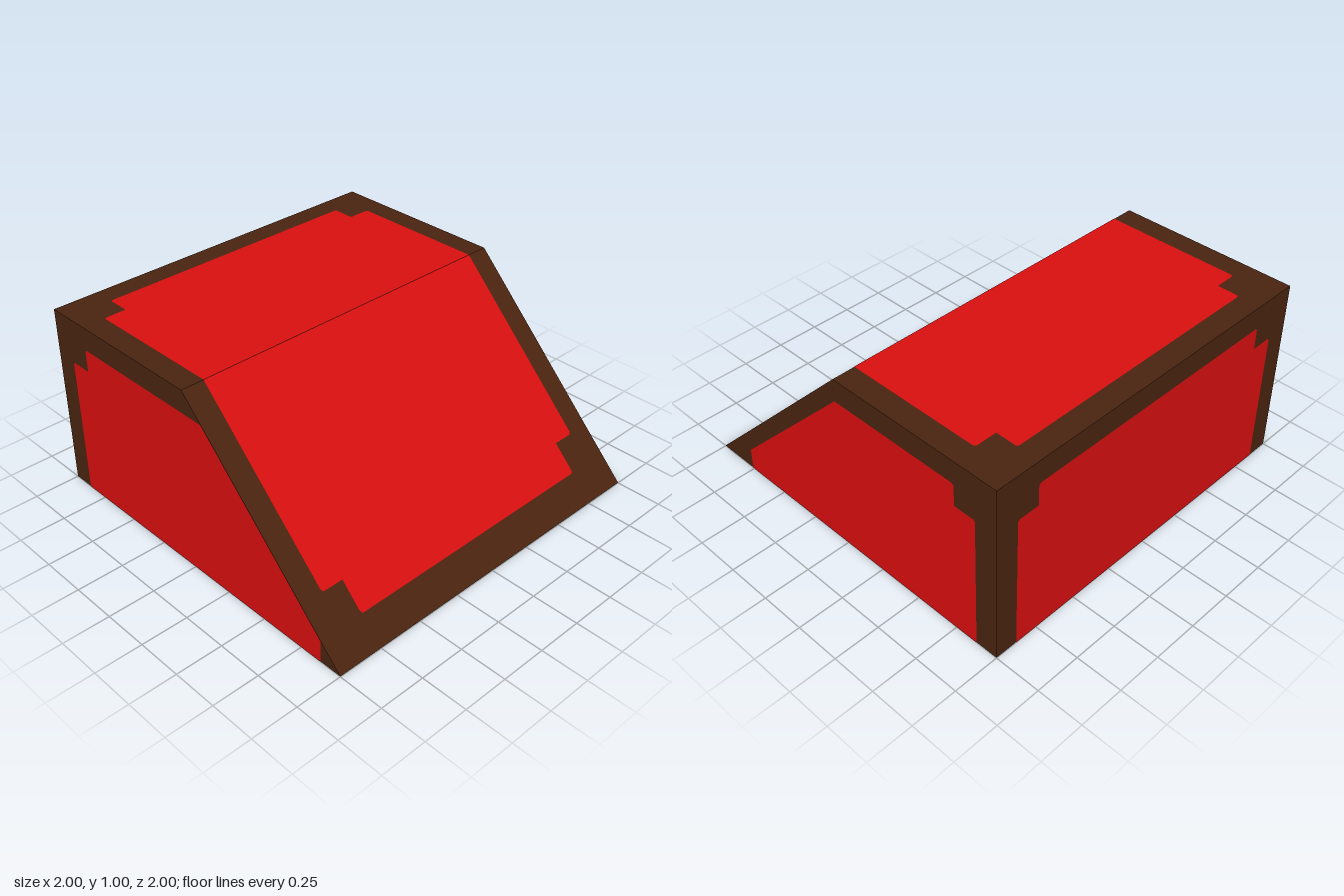
import * as THREE from 'three';

const B = 0.1225; // border width
const N = 0.245;  // notch reach
const C = 0.01;   // small chamfer on notch tips
const LIFT = 0.002;

// Stepped corner, counter-clockwise, inset from the face corner (x, y).
// sx, sy tell which side of the face the corner lies on.
function notch(x, y, sx, sy) {
  const steps = [[B, N + C], [B + C, N], [N, N], [N, B + C], [N + C, B]];
  const points = steps.map(([dx, dy]) => [x - sx * dx, y - sy * dy]);
  return sx * sy > 0 ? points : points.reverse();
}

// Flat panel drawn in a face's own axes u and v, lifted slightly off the face.
function panel(name, material, origin, u, v, points) {
  const U = new THREE.Vector3(...u);
  const V = new THREE.Vector3(...v);
  const W = U.clone().cross(V).normalize();
  const shape = new THREE.Shape(points.map(([x, y]) => new THREE.Vector2(x, y)));
  const geometry = new THREE.ShapeGeometry(shape);
  const position = new THREE.Vector3(...origin).addScaledVector(W, LIFT);
  geometry.applyMatrix4(new THREE.Matrix4().makeBasis(U, V, W).setPosition(position));
  const mesh = new THREE.Mesh(geometry, material);
  mesh.name = name;
  return mesh;
}

export function createModel() {
  const brown = new THREE.MeshStandardMaterial({ color: 0x4a2410 });
  brown.name = 'dark brown';
  const red = new THREE.MeshStandardMaterial({ color: 0xd90f0f });
  red.name = 'red';

  const group = new THREE.Group();
  group.name = 'slopedBlock';

  // Solid block with one sloping side
  const profile = new THREE.Shape([[-1, 0], [1, 0], [0, 1], [-1, 1]].map(([x, y]) => new THREE.Vector2(x, y)));
  const block = new THREE.Mesh(
    new THREE.ExtrudeGeometry(profile, { depth: 2, bevelEnabled: false }).translate(0, 0, -1),
    brown
  );
  block.name = 'block';
  group.add(block);

  const e = 1 - B;
  group.add(
    // Top, open toward the ridge
    panel('topPanel', red, [0, 1, 0], [1, 0, 0], [0, 0, -1],
      [[0, -e], [0, e], ...notch(-1, 1, -1, 1), ...notch(-1, -1, -1, -1)]),
    // Slope, open toward the ridge
    panel('slopePanel', red, [1, 0, 0], [0, 0, -1], [-1, 1, 0],
      [...notch(-1, 0, -1, -1), ...notch(1, 0, 1, -1), [e, 1], [-e, 1]]),
    // Front, running out to the sloping edge
    panel('frontPanel', red, [0, 0, 1], [1, 0, 0], [0, 1, 0],
      [[-e, 0], [e, 0], [e, B], [B, e], ...notch(-1, 1, -1, 1)]),
    // Back, with a border along the sloping edge
    panel('backPanel', red, [0, 0, -1], [-1, 0, 0], [0, 1, 0],
      [[N - 1, 0], [e, 0], ...notch(1, 1, 1, 1), [0, e], [N - 1, B]]),
    // Upright wall
    panel('wallPanel', red, [-1, 0, 0], [0, 0, 1], [0, 1, 0],
      [[-e, 0], [e, 0], ...notch(1, 1, 1, 1), ...notch(-1, 1, -1, 1)]),
    // Underside
    panel('bottomPanel', red, [0, 0, 0], [1, 0, 0], [0, 0, 1],
      [...notch(-1, -1, -1, -1), ...notch(1, -1, 1, -1), ...notch(1, 1, 1, 1), ...notch(-1, 1, -1, 1)])
  );
  return group;
}
